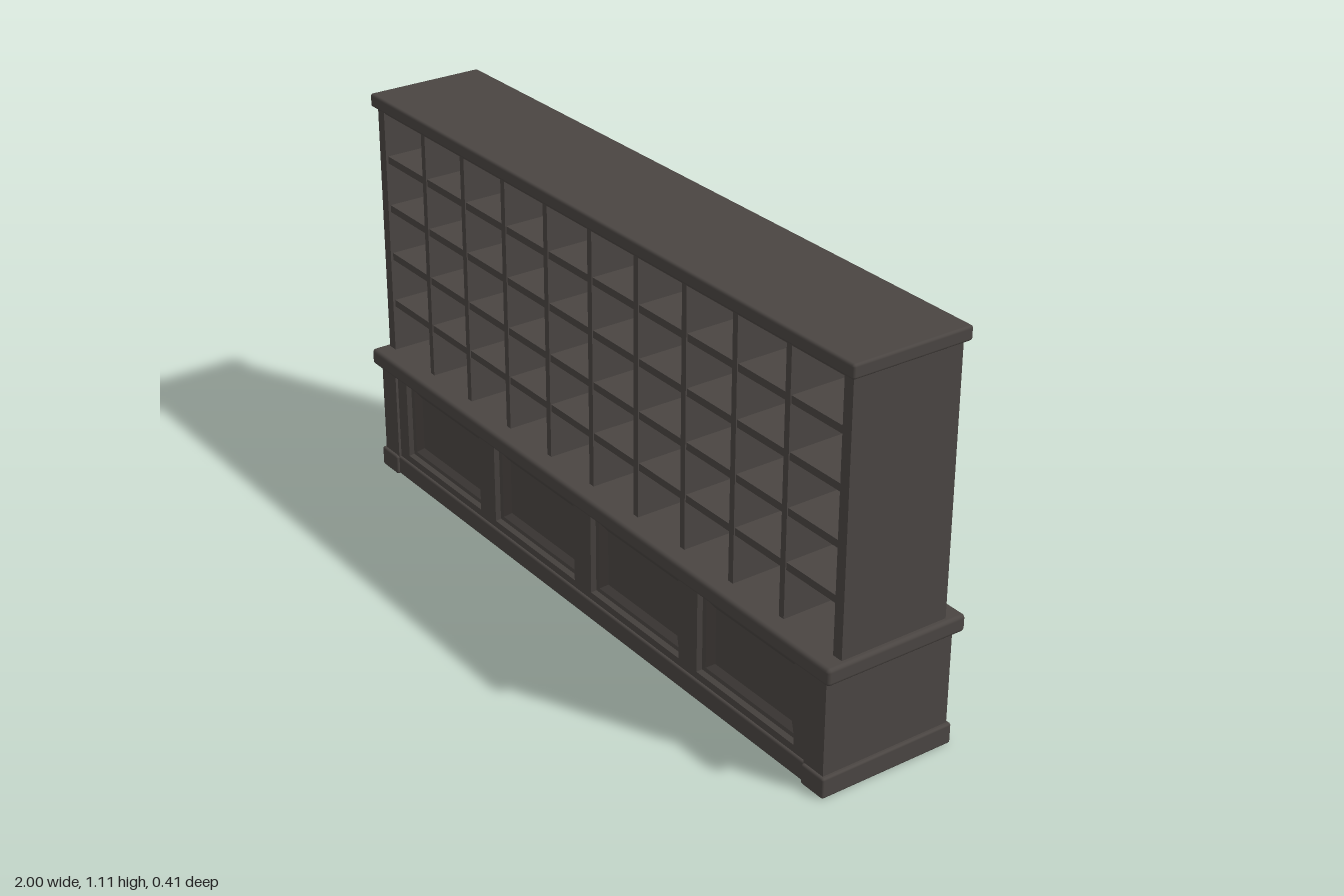
import * as THREE from 'three';
import { RoundedBoxGeometry } from 'three/addons/geometries/RoundedBoxGeometry.js';

export function createModel() {
  const model = new THREE.Group();
  model.name = 'pigeonholeCabinet';
  const wood = new THREE.MeshStandardMaterial({ color: 0x4a4542 });
  wood.name = 'darkWood';

  const add = (name, geometry, x = 0, y = 0, z = 0, parent = model) => {
    const mesh = new THREE.Mesh(geometry, wood);
    mesh.name = name;
    mesh.position.set(x, y, z);
    parent.add(mesh);
    return mesh;
  };
  // Box given by its lower and upper limits on each axis
  const block = (name, [x0, x1], [y0, y1], [z0, z1], round = 0) => {
    const size = [x1 - x0, y1 - y0, z1 - z0];
    const geometry = round ? new RoundedBoxGeometry(...size, 2, round) : new THREE.BoxGeometry(...size);
    return add(name, geometry, (x0 + x1) / 2, (y0 + y1) / 2, (z0 + z1) / 2);
  };

  // Base: core, plinth and corner posts with their feet
  block('baseCore', [-0.965, 0.965], [0.01, 0.32], [-0.145, 0.145]);
  block('plinth', [-0.975, 0.975], [0, 0.055], [-0.187, 0.187], 0.006);
  for (const s of [-1, 1]) {
    const span = (a, b) => (s > 0 ? [a, b] : [-b, -a]);
    block('basePost', span(0.905, 0.975), [0.05, 0.318], [-0.187, 0.187]);
    block('postFoot', span(0.905, 0.985), [0, 0.056], [-0.195, 0.195], 0.006);
  }

  // Panelled faces, front and back
  const panelX = [-0.672, -0.224, 0.224, 0.672], panelY = 0.187;
  const halfW = 0.187, halfH = 0.112;
  const rings = [
    [halfW, halfH, 0], [halfW - 0.006, halfH - 0.006, -0.012],
    [halfW - 0.018, halfH - 0.016, -0.014], [halfW - 0.04, halfH - 0.034, -0.026],
  ];

  // Nested rectangles stepping inward, closed by a flat centre
  function panelGeometry() {
    const points = [];
    const corner = (r, i) => {
      const [w, h, z] = rings[r];
      const k = i % 4;
      return [k === 0 || k === 3 ? -w : w, k < 2 ? -h : h, z];
    };
    const quad = (a, b, c, d) => points.push(...a, ...b, ...c, ...a, ...c, ...d);
    for (let r = 0; r < rings.length - 1; r++)
      for (let i = 0; i < 4; i++)
        quad(corner(r, i), corner(r, i + 1), corner(r + 1, i + 1), corner(r + 1, i));
    const last = rings.length - 1;
    quad(corner(last, 0), corner(last, 1), corner(last, 2), corner(last, 3));
    const g = new THREE.BufferGeometry();
    g.setAttribute('position', new THREE.Float32BufferAttribute(points, 3));
    g.computeVertexNormals();
    return g;
  }

  const rect = (Type, x, y, w, h) => {
    const p = new Type();
    p.moveTo(x - w, y - h);
    p.lineTo(x + w, y - h);
    p.lineTo(x + w, y + h);
    p.lineTo(x - w, y + h);
    p.closePath();
    return p;
  };
  const frame = rect(THREE.Shape, 0, panelY, 0.91, 0.132);
  for (const x of panelX) frame.holes.push(rect(THREE.Path, x, panelY, halfW, halfH));
  const frameGeometry = new THREE.ExtrudeGeometry(frame, { depth: 0.035, bevelEnabled: false });
  const panel = panelGeometry();
  for (const side of ['front', 'back']) {
    const face = new THREE.Group();
    face.name = side + 'Panelling';
    add('panelFrame', frameGeometry, 0, 0, 0.145, face);
    for (const x of panelX) add('sunkenPanel', panel, x, panelY, 0.18, face);
    if (side === 'back') face.rotation.y = Math.PI;
    model.add(face);
  }

  // Counter ledge and crown
  block('counterLedge', [-1, 1], [0.315, 0.361], [-0.204, 0.204], 0.01);
  block('crown', [-1, 1], [1.068, 1.105], [-0.168, 0.168], 0.007);

  // Upper case
  block('leftSide', [0.955, 0.985], [0.355, 1.07], [-0.154, 0.154]);
  block('rightSide', [-0.985, -0.955], [0.355, 1.07], [-0.154, 0.154]);
  block('backBoard', [-0.956, 0.956], [0.355, 1.07], [-0.148, -0.132]);
  block('topRail', [-0.956, 0.956], [1.056, 1.07], [-0.14, 0.15]);

  // Pigeonholes: ten columns, five rows
  const columns = 10, rows = 5, bottom = 0.36, top = 1.066;
  for (let c = 1; c < columns; c++) {
    const x = -0.955 + (1.91 * c) / columns;
    block('divider', [x - 0.009, x + 0.009], [bottom - 0.002, top], [-0.135, 0.15]);
  }
  for (let r = 1; r < rows; r++) {
    const y = bottom + ((top - bottom) * r) / rows;
    block('shelf', [-0.956, 0.956], [y - 0.01, y + 0.01], [-0.135, 0.147]);
  }
  return model;
}
